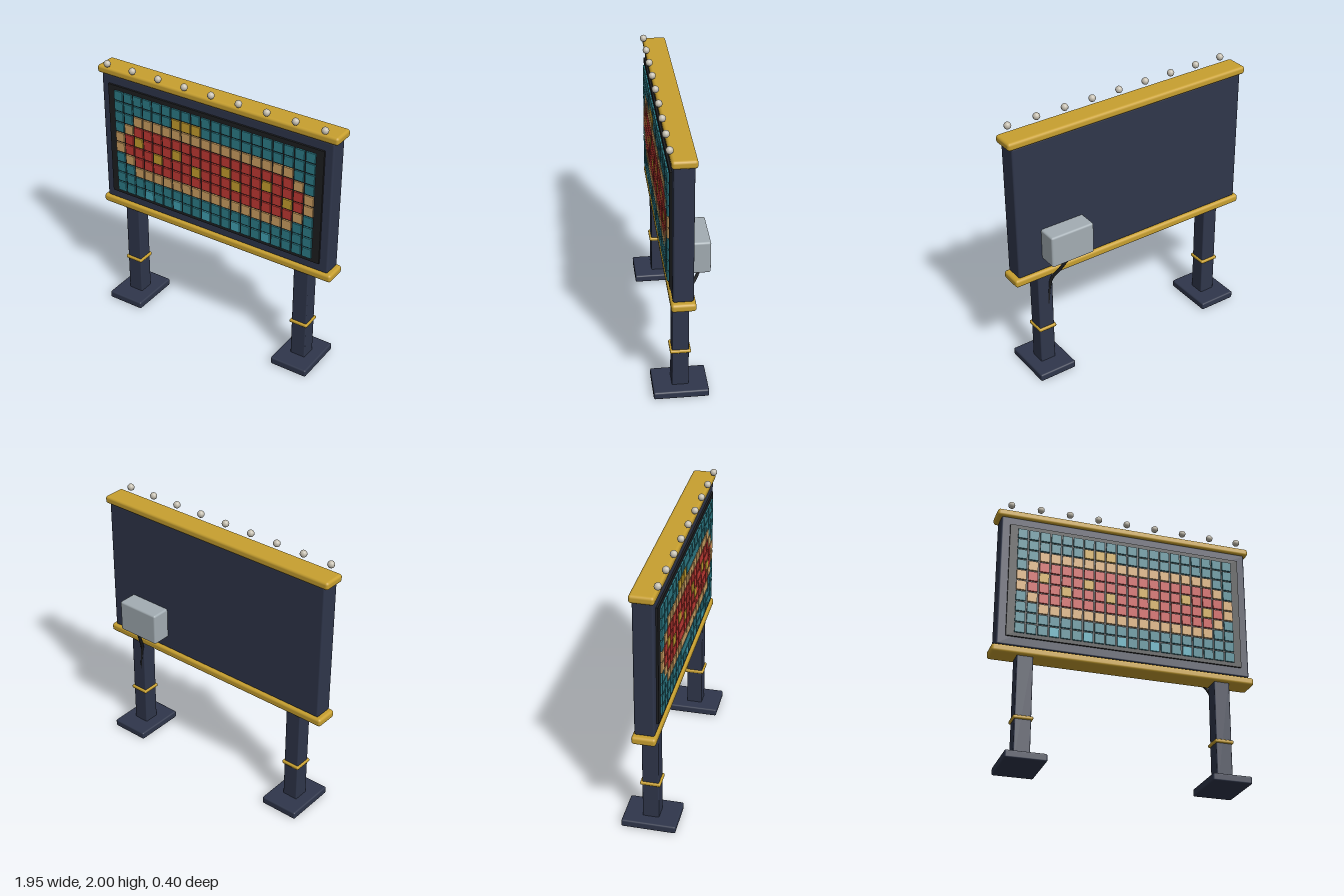
import * as THREE from 'three';
import { mergeGeometries } from 'three/addons/utils/BufferGeometryUtils.js';
import { RoundedBoxGeometry } from 'three/addons/geometries/RoundedBoxGeometry.js';

const makeMaterial = (name, color) => {
  const m = new THREE.MeshStandardMaterial({ color });
  m.name = name;
  return m;
};

const navy = makeMaterial('navy', 0x2f364b);
const gold = makeMaterial('gold', 0xc8a02f);
const black = makeMaterial('black', 0x1d1e20);
const grey = makeMaterial('grey', 0xa3adb3);
const bulbWhite = makeMaterial('bulbWhite', 0xc4beb0);
const teal = makeMaterial('teal', 0x2d7d89);
const aqua = makeMaterial('aqua', 0x42a3b4);
const red = makeMaterial('red', 0xc43a34);
const tan = makeMaterial('tan', 0xd0a263);

// Tile mosaic: . teal, a aqua, r red, t tan, g gold
const MOSAIC = [
  '....................',
  '......ggg...........',
  '..tttttttttttttttt..',
  '.trrrrrrrrrrrrrrrrt.',
  'trgrrrgrrrrgrrrgrrrt',
  'trrrgrrrgrrrgrrrrgrt',
  '.trrrrrrrrrrrrrrrrt.',
  '..tttttttttttttttt..',
  '....................',
  '...a..a..a..a..a....',
];
const TILE_KINDS = {
  '.': ['tealTiles', teal],
  a: ['aquaTiles', aqua],
  r: ['redTiles', red],
  t: ['tanTiles', tan],
  g: ['goldTiles', gold],
};

export function createModel() {
  const model = new THREE.Group();
  model.name = 'displayBoard';
  const zMid = 0.005;

  const add = (name, geometry, material, x = 0, y = 0, z = 0, parent = model) => {
    const mesh = new THREE.Mesh(geometry, material);
    mesh.name = name;
    mesh.position.set(x, y, z);
    parent.add(mesh);
    return mesh;
  };
  const box = (w, h, d, r) => new RoundedBoxGeometry(w, h, d, 2, r);

  // Cabinet, gold trim rails and dark screen panel
  add('cabinet', box(1.89, 1.02, 0.14, 0.013), navy, 0, 1.375, 0.006);
  add('topTrim', box(1.954, 0.058, 0.17, 0.02), gold, 0, 1.911, zMid);
  add('bottomTrim', box(1.954, 0.06, 0.17, 0.02), gold, 0, 0.834, zMid);
  add('screenPanel', new THREE.BoxGeometry(1.764, 0.886, 0.02), black, 0, 1.376, 0.08);

  // Tiles, merged by colour
  const tiles = new THREE.Group();
  tiles.name = 'tiles';
  model.add(tiles);
  for (const [key, [name, material]] of Object.entries(TILE_KINDS)) {
    const parts = [];
    MOSAIC.forEach((row, r) => [...row].forEach((c, i) => {
      if (c !== key) return;
      const tile = new THREE.BoxGeometry(0.07, 0.072, 0.014);
      tile.translate((i - 9.5) * 0.083, 1.749 - r * 0.0834, 0.095);
      parts.push(tile);
    }));
    add(name, mergeGeometries(parts), material, 0, 0, 0, tiles);
  }

  // Row of bulbs along the front of the top rail
  const bulbGeometry = new THREE.SphereGeometry(0.026, 10, 8);
  for (let i = 0; i < 9; i++) {
    add('bulb', bulbGeometry, bulbWhite, (i - 4) * 0.22, 1.974, 0.091);
  }

  // Two legs, each with a foot plate and a gold band
  for (const side of [-1, 1]) {
    const leg = new THREE.Group();
    leg.name = side > 0 ? 'leftLeg' : 'rightLeg';
    leg.position.set(side * 0.733, 0, zMid);
    model.add(leg);
    add('foot', box(0.292, 0.056, 0.39, 0.012), navy, 0, 0.03, 0, leg);
    add('post', box(0.118, 0.79, 0.118, 0.008), navy, 0, 0.435, 0, leg);
    add('band', box(0.142, 0.026, 0.146, 0.01), gold, 0, 0.347, 0, leg);
  }

  // Control box on the back with a cable running to the post
  add('controlBox', box(0.34, 0.24, 0.15, 0.015), grey, 0.585, 1.08, -0.127);
  const cablePath = new THREE.CatmullRomCurve3([
    new THREE.Vector3(0.605, 0.985, -0.18),
    new THREE.Vector3(0.645, 0.865, -0.118),
    new THREE.Vector3(0.688, 0.75, -0.056),
    new THREE.Vector3(0.712, 0.55, -0.043),
  ]);
  add('cable', new THREE.TubeGeometry(cablePath, 24, 0.012, 8), black);

  return model;
}
